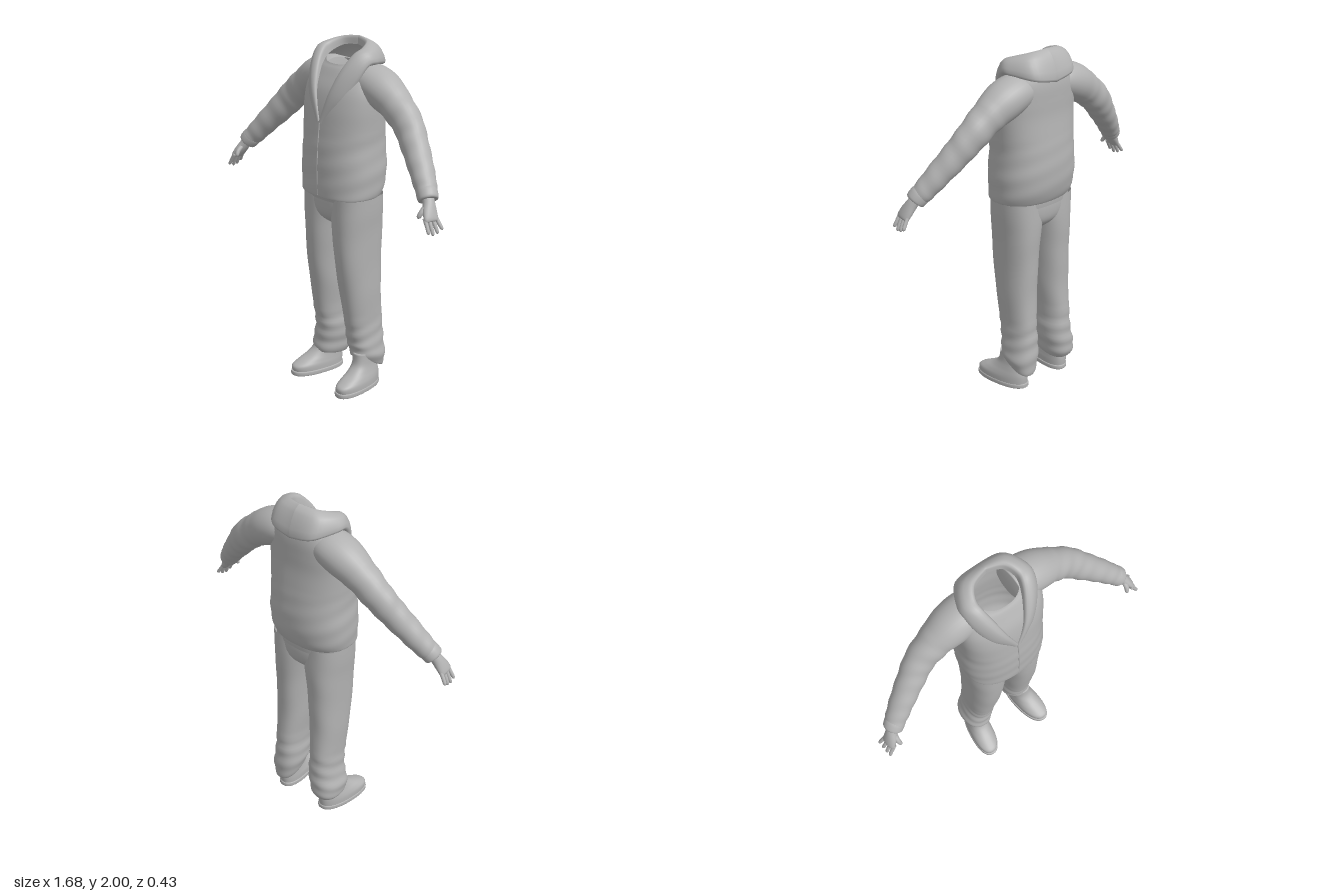
import * as THREE from 'three';

const gray = new THREE.MeshStandardMaterial({ color: 0xb2b2b2, side: THREE.DoubleSide });
gray.name = 'plain gray';

// Smoothly resample a small table of rows (Catmull-Rom on every column)
function resample(rows, steps) {
  const out = [], last = rows.length - 1;
  for (let s = 0; s <= steps; s++) {
    const f = (s / steps) * last, i = Math.min(Math.floor(f), last - 1), t = f - i;
    const [a, b, c, d] = [i - 1, i, i + 1, i + 2].map(k => rows[Math.max(0, Math.min(last, k))]);
    out.push(b.map((_, k) => {
      const m0 = (c[k] - a[k]) / 2, m1 = (d[k] - b[k]) / 2, t2 = t * t, t3 = t2 * t;
      return (2 * t3 - 3 * t2 + 1) * b[k] + (t3 - 2 * t2 + t) * m0 + (3 * t2 - 2 * t3) * c[k] + (t3 - t2) * m1;
    }));
  }
  return out;
}

// Skin a list of point rows
function skin(rings, closed = true, capStart = false, capEnd = false) {
  const n = rings[0].length, pts = rings.flat(), idx = [];
  for (let i = 0; i < rings.length - 1; i++)
    for (let j = 0; j < (closed ? n : n - 1); j++) {
      const k = (j + 1) % n, a = i * n + j, b = i * n + k;
      idx.push(a, a + n, b, b, a + n, b + n);
    }
  const cap = (ring, base, flip) => {
    const c = pts.length;
    pts.push(ring.reduce((s, p) => s.add(p), new THREE.Vector3()).divideScalar(n));
    for (let j = 0; j < n; j++) {
      const k = (j + 1) % n;
      idx.push(c, base + (flip ? k : j), base + (flip ? j : k));
    }
  };
  if (capStart) cap(rings[0], 0, false);
  if (capEnd) cap(rings[rings.length - 1], (rings.length - 1) * n, true);
  const g = new THREE.BufferGeometry().setFromPoints(pts);
  g.setIndex(idx);
  g.computeVertexNormals();
  return g;
}

function mirrored(geo) {
  const g = geo.clone().scale(-1, 1, 1), ix = g.index.array;
  for (let i = 0; i < ix.length; i += 3) [ix[i], ix[i + 1]] = [ix[i + 1], ix[i]];
  g.computeVertexNormals();
  return g;
}

const pw = (v, e) => Math.sign(v) * Math.abs(v) ** e;

// Upright stack of sections: [y, x0, x1, zFront, zBack, tilt]
function stack(rows, steps, { n = 40, e = 0.85, fold = () => 0, shear = 0, capStart = false, capEnd = false } = {}) {
  return skin(resample(rows, steps).map(([y, x0, x1, zf, zb, tilt]) =>
    Array.from({ length: n }, (_, j) => {
      const a = (j / n) * Math.PI * 2, r = 1 + fold(y, a);
      const dz = (zf - zb) / 2 * r * pw(Math.sin(a), e), z = (zf + zb) / 2 + dz;
      return new THREE.Vector3((x0 + x1) / 2 + (x1 - x0) / 2 * r * pw(Math.cos(a), e) + shear * z, y + tilt * dz, z);
    })), true, capStart, capEnd);
}

// Limb along a path: [x, y, z, radius in the front plane, radius in depth]
function limb(rows, steps, n = 24, fold = () => 0) {
  const s = resample(rows, steps), P = s.map(r => new THREE.Vector3(r[0], r[1], r[2]));
  return skin(s.map((r, i) => {
    const t = P[Math.min(i + 1, steps)].clone().sub(P[Math.max(i - 1, 0)]).normalize();
    const v = new THREE.Vector3(0, 0, 1).addScaledVector(t, -t.z).normalize();
    const u = t.clone().cross(v);
    return Array.from({ length: n }, (_, j) => {
      const a = (j / n) * Math.PI * 2, k = 1 + fold(i / steps, a);
      return P[i].clone().addScaledVector(u, r[3] * k * Math.cos(a)).addScaledVector(v, r[4] * k * Math.sin(a));
    });
  }), true, true, true);
}

export function createModel() {
  const model = new THREE.Group();
  model.name = 'clothedFigure';
  const add = (name, geo) => {
    const m = new THREE.Mesh(geo, gray);
    m.name = name;
    model.add(m);
  };
  const pair = (name, geo) => {
    add('left' + name, geo);
    add('right' + name, mirrored(geo));
  };

  // Jacket body, open at the neck
  const sym = ([y, rx, zf, zb, tilt = 0]) => [y, -rx, rx, zf, zb, tilt];
  add('jacketBody', stack([
    [1.15, 0.225, 0.175, -0.155, 0], [1.15, 0.238, 0.185, -0.17, 0], [1.21, 0.246, 0.187, -0.197],
    [1.31, 0.249, 0.187, -0.21], [1.42, 0.241, 0.182, -0.207], [1.54, 0.245, 0.17, -0.196],
    [1.64, 0.25, 0.158, -0.187], [1.73, 0.248, 0.135, -0.187, 0.02], [1.81, 0.225, 0.1, -0.185, -0.05],
    [1.87, 0.175, 0.075, -0.165, -0.2], [1.91, 0.12, 0.06, -0.115, -0.5],
  ].map(sym), 50, { n: 56, fold: (y, a) => y < 1.5 ? 0.006 * Math.sin(y * 55 + 3 * a) : 0 }));

  // Shirt hem showing below the jacket
  add('shirtHem', stack([[1.12, 0.228, 0.15, -0.165], [1.15, 0.232, 0.16, -0.168], [1.2, 0.23, 0.16, -0.17]].map(sym), 6));

  // Collar and folded hood: inner edge, rim, outer roll, lower edge, tuck
  const hood = [
    [0, 1.57, 0.15, 0, 1.57, 0.172, 0.012, 1.56, 0.174, 0.02, 1.555, 0.166, 0.02, 1.555, 0.15],
    [0.05, 1.7, 0.12, 0.052, 1.72, 0.152, 0.075, 1.715, 0.158, 0.12, 1.69, 0.135, 0.14, 1.68, 0.1],
    [0.085, 1.82, 0.075, 0.093, 1.845, 0.102, 0.13, 1.835, 0.112, 0.185, 1.8, 0.07, 0.18, 1.79, 0.04],
    [0.11, 1.88, 0.02, 0.123, 1.93, 0.038, 0.172, 1.925, 0.04, 0.212, 1.88, 0.005, 0.18, 1.86, -0.01],
    [0.115, 1.91, -0.03, 0.13, 1.96, -0.022, 0.19, 1.945, -0.035, 0.207, 1.885, -0.07, 0.17, 1.86, -0.07],
    [0.08, 1.94, -0.085, 0.09, 1.985, -0.09, 0.13, 1.96, -0.14, 0.135, 1.86, -0.188, 0.12, 1.85, -0.15],
    [0, 1.95, -0.11, 0, 1.997, -0.118, 0, 1.965, -0.165, 0, 1.835, -0.206, 0, 1.83, -0.17],
  ];
  pair('HoodHalf', skin(resample(hood, 36).map(r => new THREE.CatmullRomCurve3(
    [0, 3, 6, 9, 12].map(k => new THREE.Vector3(r[k], r[k + 1], r[k + 2]))).getPoints(14)), false));

  // Sleeves with soft folds, and cuffs
  pair('Sleeve', limb([
    [0.1, 1.79, -0.055, 0.08, 0.1], [0.17, 1.78, -0.06, 0.1, 0.115], [0.26, 1.745, -0.06, 0.105, 0.112],
    [0.36, 1.685, -0.055, 0.092, 0.092], [0.46, 1.603, -0.045, 0.086, 0.08], [0.54, 1.517, -0.015, 0.077, 0.074],
    [0.63, 1.42, 0.025, 0.066, 0.068], [0.7, 1.34, 0.06, 0.058, 0.06], [0.735, 1.302, 0.08, 0.05, 0.053],
  ], 54, 28, (t, a) => t > 0.35 ? 0.025 * Math.sin(t * 60 + Math.sin(a) * 2) : 0));
  pair('Cuff', limb([
    [0.705, 1.337, 0.065, 0.05, 0.052], [0.72, 1.318, 0.072, 0.056, 0.057],
    [0.742, 1.292, 0.083, 0.053, 0.055], [0.746, 1.287, 0.085, 0.044, 0.047],
  ], 10));

  // Hands
  pair('Palm', limb([
    [0.735, 1.305, 0.08, 0.03, 0.032], [0.757, 1.272, 0.093, 0.03, 0.034], [0.78, 1.235, 0.108, 0.026, 0.043],
    [0.8, 1.203, 0.118, 0.019, 0.045], [0.806, 1.193, 0.12, 0.01, 0.036],
  ], 16, 20));
  [0.05, 0.065, 0.07, 0.058].forEach((len, i) => {
    const z = 0.083 + i * 0.023, x = 0.803 - i * 0.003, s = (i - 1.5) * 0.006;
    pair('Finger' + (i + 1), limb([
      [x - 0.008, 1.213, z, 0.011, 0.011], [x + 0.016, 1.2 - len * 0.45, z + s * 0.5, 0.0105, 0.0105],
      [x + 0.03, 1.2 - len * 0.9, z + s, 0.009, 0.009], [x + 0.031, 1.198 - len, z + s, 0.003, 0.003],
    ], 9, 10));
  });
  pair('Thumb', limb([
    [0.758, 1.262, 0.115, 0.016, 0.015], [0.758, 1.238, 0.145, 0.014, 0.014],
    [0.752, 1.215, 0.16, 0.011, 0.011], [0.75, 1.207, 0.164, 0.003, 0.003],
  ], 9, 10));

  // Trousers: hips plus two legs with bunched hems
  add('hips', stack([
    [0.96, 0.03, 0.06, -0.08], [1.0, 0.13, 0.115, -0.13], [1.04, 0.2, 0.14, -0.155],
    [1.1, 0.228, 0.148, -0.163], [1.17, 0.232, 0.148, -0.16],
  ].map(sym), 18, { capStart: true }));
  const thigh = [
    [0.28, 0.045, 0.22, 0.06, -0.165, 0.1], [0.4, 0.05, 0.212, 0.077, -0.157, 0], [0.6, 0.032, 0.217, 0.11, -0.147, 0],
    [0.8, 0.02, 0.218, 0.137, -0.152, 0], [0.95, 0.003, 0.224, 0.143, -0.158, 0],
    [1.05, -0.01, 0.23, 0.146, -0.16, 0], [1.15, -0.01, 0.234, 0.145, -0.155, 0],
  ];
  const bunch = (y, a) => y < 0.42 ? 0.028 * Math.sin(y * 75 + 2 * Math.sin(a) + a) : 0.006 * Math.sin(y * 25 + 2 * a);
  add('leftTrouserLeg', stack([
    [0.145, 0.09, 0.2, 0.035, -0.13, 0.5], [0.145, 0.075, 0.215, 0.045, -0.155, 0.5], [0.2, 0.052, 0.23, 0.05, -0.168, 0.35], ...thigh,
  ], 56, { fold: bunch }));
  add('rightTrouserLeg', mirrored(stack([
    [0.115, 0.095, 0.21, 0.045, -0.13, 0.15], [0.115, 0.075, 0.235, 0.06, -0.15, 0.15], [0.18, 0.06, 0.243, 0.06, -0.168, 0.15], ...thigh,
  ], 56, { fold: bunch })));

  // Shoes, slightly toed out, with a thin sole
  pair('Shoe', stack([
    [0.02, 0.1, 0.24, 0.205, -0.12, 0], [0.055, 0.1, 0.24, 0.207, -0.122, 0], [0.08, 0.104, 0.235, 0.165, -0.121, 0],
    [0.11, 0.108, 0.226, 0.105, -0.115, 0], [0.15, 0.108, 0.218, 0.062, -0.106, 0], [0.215, 0.105, 0.215, 0.05, -0.1, 0],
  ], 24, { shear: 0.12, capEnd: true }));
  pair('Sole', stack([
    [0, 0.1, 0.238, 0.208, -0.12, 0], [0.004, 0.095, 0.243, 0.214, -0.125, 0],
    [0.024, 0.095, 0.243, 0.214, -0.125, 0], [0.027, 0.1, 0.238, 0.207, -0.12, 0],
  ], 9, { shear: 0.12, capStart: true, capEnd: true }));

  // Pocket slits and front zip
  const seam = pts => new THREE.TubeGeometry(new THREE.CatmullRomCurve3(pts.map(p => new THREE.Vector3(...p))), 12, 0.004, 6);
  pair('PocketSeam', seam([[0.198, 1.3, 0.115], [0.205, 1.37, 0.102], [0.198, 1.44, 0.1]]));
  add('frontZip', seam([[0, 1.155, 0.184], [0, 1.31, 0.186], [0, 1.42, 0.181], [0, 1.56, 0.168]]));
  return model;
}
